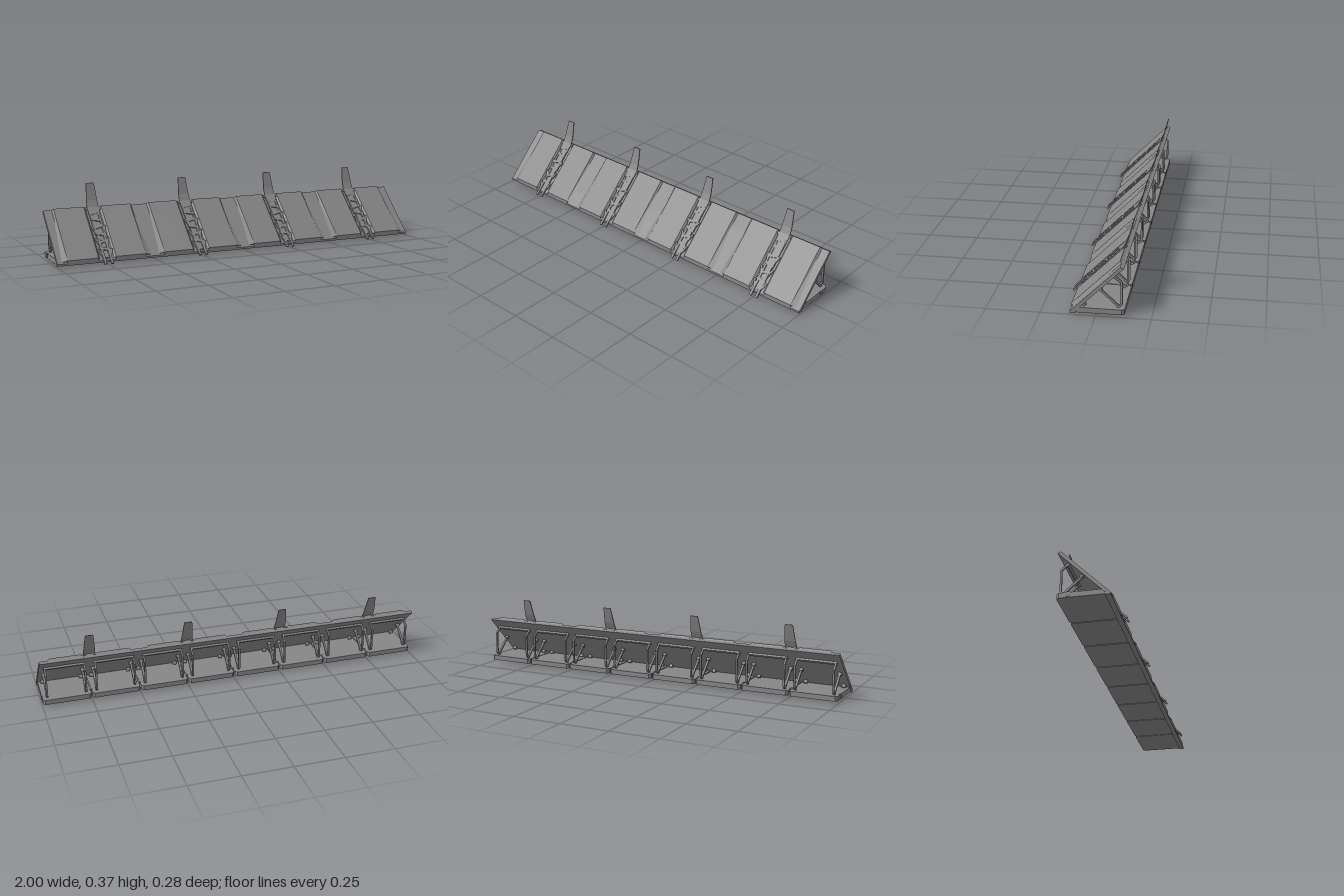
import * as THREE from 'three';

const mat = new THREE.MeshStandardMaterial({ color: 0x868686, flatShading: true, side: THREE.DoubleSide });

function add(parent, name, geometry, x = 0, y = 0, z = 0) {
  const m = new THREE.Mesh(geometry, mat);
  m.name = name;
  m.position.set(x, y, z);
  parent.add(m);
  return m;
}
const box = (parent, name, w, h, d, x, y, z) => add(parent, name, new THREE.BoxGeometry(w, h, d), x, y, z);

// Square bar between two points
function bar(parent, name, a, b, w, d = w) {
  const p = new THREE.Vector3(...a), q = new THREE.Vector3(...b);
  const dir = q.clone().sub(p);
  const m = add(parent, name, new THREE.BoxGeometry(w, dir.length() + d * 0.4, d));
  m.position.copy(p).add(q).multiplyScalar(0.5);
  m.quaternion.setFromUnitVectors(new THREE.Vector3(0, 1, 0), dir.normalize());
  return m;
}

const polygon = (points) => new THREE.Shape(points.map(([u, v]) => new THREE.Vector2(u, v)));

// Extrude a [z, y] profile along x, centred on x = 0
function extrudeX(points, width) {
  const g = new THREE.ExtrudeGeometry(polygon(points.map(([z, y]) => [-z, y])), { depth: width, bevelEnabled: false });
  g.translate(0, 0, -width / 2);
  return g.rotateY(Math.PI / 2);
}

// Raised plate: box whose foot spreads outward; the joint side tapers along the slope
function plateGeometry(side, length) {
  const g = new THREE.BoxGeometry(1, length, 0.012);
  const p = g.attributes.position;
  for (let i = 0; i < p.count; i++) {
    const joint = p.getX(i) > 0, top = p.getY(i) > 0, foot = p.getZ(i) < 0;
    let x = joint ? 0.2 : 0.045;
    if (foot) x = joint ? (top ? 0.21 : 0.232) : 0.034;
    p.setX(i, x * side);
  }
  if (side < 0) {
    // keep the winding outward on the mirrored plate
    const idx = g.index.array;
    for (let i = 0; i < idx.length; i += 3) [idx[i], idx[i + 1]] = [idx[i + 1], idx[i]];
  }
  g.computeVertexNormals();
  return g;
}

// Bent strip from [z, y, halfWidth] stations
function spikeGeometry(path) {
  const n = path.length - 1;
  const g = new THREE.BoxGeometry(2, n, 0.005, 2, n, 1);
  const p = g.attributes.position;
  for (let i = 0; i < p.count; i++) {
    const [z, y, half] = path[Math.round(p.getY(i) + n / 2)];
    p.setXYZ(i, p.getX(i) * half, y, z + p.getZ(i));
  }
  g.computeVertexNormals();
  return g;
}

export function createModel() {
  const model = new THREE.Group();
  model.name = 'barrier';

  // Sloped backing slab with a squared-off toe
  add(model, 'slopedSlab', extrudeX([
    [0.115, 0.016], [-0.112, 0.243], [-0.128, 0.236], [0.09, 0.018], [0.09, 0.006], [0.115, 0.006],
  ], 2));

  // Slope frame: local y runs up the slope, local z points out of it
  const slope = new THREE.Group();
  slope.name = 'slopeFace';
  slope.position.set(0, 0.03, 0.115);
  slope.rotation.x = -Math.PI / 4;
  model.add(slope);
  const L = 0.311;
  const spike = spikeGeometry([
    [-0.07, 0.213, 0.03], [-0.101, 0.248, 0.03], [-0.116, 0.28, 0.028], [-0.129, 0.325, 0.024], [-0.139, 0.364, 0.02],
  ]);

  for (let i = 0; i < 4; i++) {
    const s = -0.75 + 0.5 * i;
    for (const side of [-1, 1]) {
      add(slope, 'raisedPlate', plateGeometry(side, L), s, L / 2, -0.006);
      box(model, 'plateToe', 0.155, 0.024, 0.013, s + side * 0.1225, 0.018, 0.1085);
    }

    // Spike rail lying in the groove between two plates
    const rail = new THREE.Group();
    rail.name = 'spikeRail';
    rail.position.x = s;
    slope.add(rail);
    box(rail, 'railBed', 0.036, L, 0.007, 0, L / 2, -0.007);
    for (const side of [-1, 1]) {
      box(rail, 'railProng', 0.012, 0.17, 0.008, side * 0.017, 0.047, -0.002);
      box(rail, 'railUpright', 0.01, 0.17, 0.008, side * 0.022, 0.225, -0.003);
      for (const u of [0.03, 0.1, 0.17]) {
        const barb = box(rail, 'barb', 0.009, 0.04, 0.007, side * 0.028, u, -0.003);
        barb.rotation.z = -side * 0.35;
      }
    }
    for (let k = 0; k < 6; k++) {
      const clip = box(rail, 'railClip', 0.056, 0.014, 0.008, 0, 0.05 + k * 0.044, -0.002);
      clip.rotation.z = k % 2 ? 0.25 : -0.25;
    }
    box(rail, 'topClamp', 0.078, 0.014, 0.008, 0, 0.298, -0.003);

    // Bent spike rising above the slab
    add(model, 'spike', spike, s);
  }

  // Eight floor plates with clipped rear corners, each with its own support frame
  const floor = new THREE.ExtrudeGeometry(
    polygon([[-0.122, -0.09], [0.122, -0.09], [0.122, 0.118], [0.112, 0.13], [-0.112, 0.13], [-0.122, 0.118]]),
    { depth: 0.025, bevelEnabled: false },
  ).rotateX(-Math.PI / 2);
  for (let k = 0; k < 8; k++) {
    const bay = new THREE.Group();
    bay.name = 'bay';
    bay.position.x = -0.875 + 0.25 * k;
    model.add(bay);
    add(bay, 'floorPlate', floor, 0, 0.01, 0);

    for (const side of [-1, 1]) {
      const x = side * 0.098;
      // Bent rear post
      const post = [[x, 0.187, -0.086], [x, 0.16, -0.115], [x, 0.052, -0.115], [x, 0.037, -0.098]];
      for (let j = 0; j < 3; j++) bar(bay, 'rearPost', post[j], post[j + 1], 0.009);
      // Diagonal strut with its pads
      bar(bay, 'strut', [x, 0.118, -0.02], [x, 0.042, -0.1], 0.01);
      bar(bay, 'strutPad', [x, 0.116, -0.025], [x, 0.125, -0.016], 0.018, 0.012);
      bar(bay, 'toePad', [x, 0.038, 0.05], [x, 0.047, 0.059], 0.018, 0.012);
      // Coupling on the floor edge
      box(bay, 'coupling', 0.008, 0.022, 0.017, side * 0.121, 0.026, -0.074);
    }
    // Horizontal rail joining the posts under the slab
    const top = box(bay, 'topRail', 0.205, 0.014, 0.012, 0, 0.187, -0.085);
    top.rotation.x = -Math.PI / 4;
  }
  return model;
}
